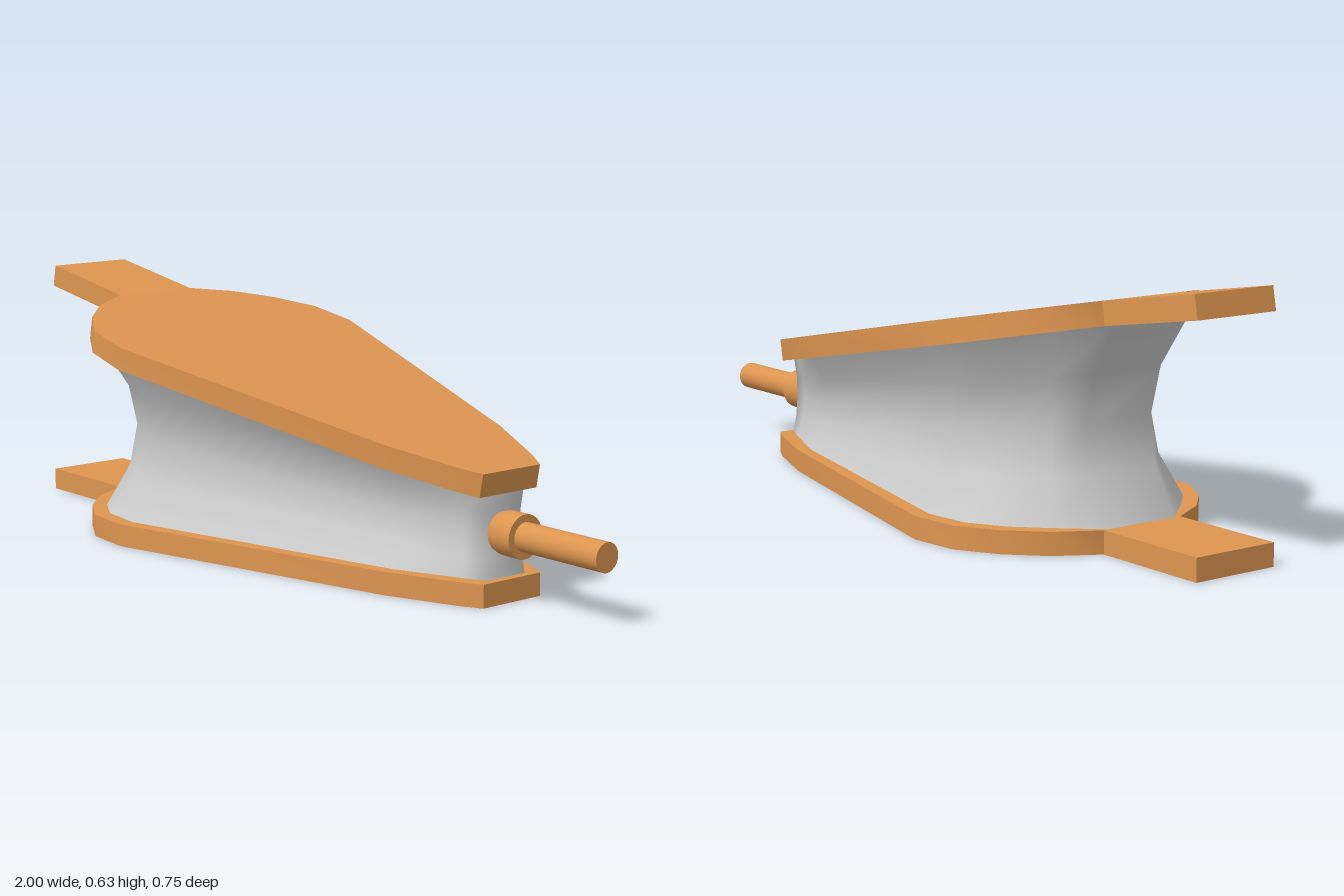
import * as THREE from 'three';
import { toCreasedNormals } from 'three/addons/utils/BufferGeometryUtils.js';

const wood = new THREE.MeshStandardMaterial({ color: 0xdd9550 });
const leather = new THREE.MeshStandardMaterial({ color: 0xcccccc, side: THREE.DoubleSide });

const THICK = 0.056;
const JOINT = -0.69; // where the handle meets the paddle

// half outlines (x, z), from nose to back
const paddleHalf = [[0.705, 0.09], [0.65, 0.118], [0.47, 0.185], [-0.32, 0.375], [-0.45, 0.36],
  [-0.55, 0.3], [-0.63, 0.22], [JOINT, 0.115]];
const handleHalf = [[JOINT, 0.115], [-1, 0.115]];
const bagOuter = [[0.685, 0.06], [0.63, 0.085], [0.46, 0.155], [-0.32, 0.337], [-0.44, 0.323],
  [-0.53, 0.27], [-0.6, 0.2], [-0.69, 0.1]];
const bagWaist = [[0.675, 0.055], [0.62, 0.068], [0.45, 0.105], [-0.31, 0.253], [-0.4, 0.238],
  [-0.48, 0.2], [-0.54, 0.15], [-0.595, 0.095]];

const mirrored = half => [...half, ...half.map(([x, z]) => [x, -z]).reverse()];

// height of the top board's underside; the handle bends down a little
const underside = x => x > JOINT
  ? 0.255 + (0.685 - x) * 0.195
  : 0.255 + (0.685 - JOINT) * 0.195 + (JOINT - x) * 0.163;

function slab(half, name, tilted) {
  const shape = new THREE.Shape(mirrored(half).map(p => new THREE.Vector2(...p)));
  let geo = new THREE.ExtrudeGeometry(shape, { depth: THICK, bevelEnabled: false });
  geo.rotateX(-Math.PI / 2);
  if (tilted) {
    const p = geo.attributes.position;
    for (let i = 0; i < p.count; i++) {
      const x = -0.99 + (p.getX(i) + 1) * 0.984, y = p.getY(i);
      p.setXYZ(i, x + 0.19 * y, y + underside(x), p.getZ(i));
    }
  }
  geo = toCreasedNormals(geo, 0.6);
  const mesh = new THREE.Mesh(geo, wood);
  mesh.name = name;
  return mesh;
}

function board(name, tilted) {
  const g = new THREE.Group();
  g.name = name;
  g.add(slab(paddleHalf, 'paddle', tilted), slab(handleHalf, 'handle', tilted));
  return g;
}

// leather wall lofted between the boards, pinched at mid height
function airBag() {
  const outer = mirrored(bagOuter), waist = mirrored(bagWaist);
  const pinch = [0, 0.75, 1, 0.75, 0], n = outer.length;
  const pos = [], index = [];
  pinch.forEach((k, level) => {
    const t = level / (pinch.length - 1);
    outer.forEach(([ox, oz], i) => {
      const x = THREE.MathUtils.lerp(ox, waist[i][0], k) - 0.008 * t;
      const z = THREE.MathUtils.lerp(oz, waist[i][1], k);
      pos.push(x, THREE.MathUtils.lerp(THICK - 0.003, underside(x) + 0.003, t), z);
      if (level === 0) return;
      const j = (i + 1) % n, lo = (level - 1) * n, hi = level * n;
      index.push(lo + i, hi + i, lo + j, lo + j, hi + i, hi + j);
    });
  });
  const geo = new THREE.BufferGeometry();
  geo.setAttribute('position', new THREE.Float32BufferAttribute(pos, 3));
  geo.setIndex(index);
  geo.computeVertexNormals();
  const mesh = new THREE.Mesh(geo, leather);
  mesh.name = 'airBag';
  return mesh;
}

// collar and pipe turned around the x axis
function nozzle() {
  const g = new THREE.Group();
  g.name = 'nozzle';
  const part = (name, rBack, rFront, x0, x1) => {
    const geo = new THREE.CylinderGeometry(rFront, rBack, x1 - x0, 24);
    geo.rotateZ(-Math.PI / 2);
    const mesh = new THREE.Mesh(geo, wood);
    mesh.position.set((x0 + x1) / 2, 0.161, 0);
    mesh.name = name;
    g.add(mesh);
  };
  part('collarBase', 0.046, 0.053, 0.665, 0.69);
  part('collar', 0.053, 0.053, 0.69, 0.745);
  part('pipe', 0.035, 0.035, 0.74, 1);
  return g;
}

export function createModel() {
  const model = new THREE.Group();
  model.name = 'bellows';
  model.add(board('bottomBoard', false), board('topBoard', true), airBag(), nozzle());
  return model;
}
